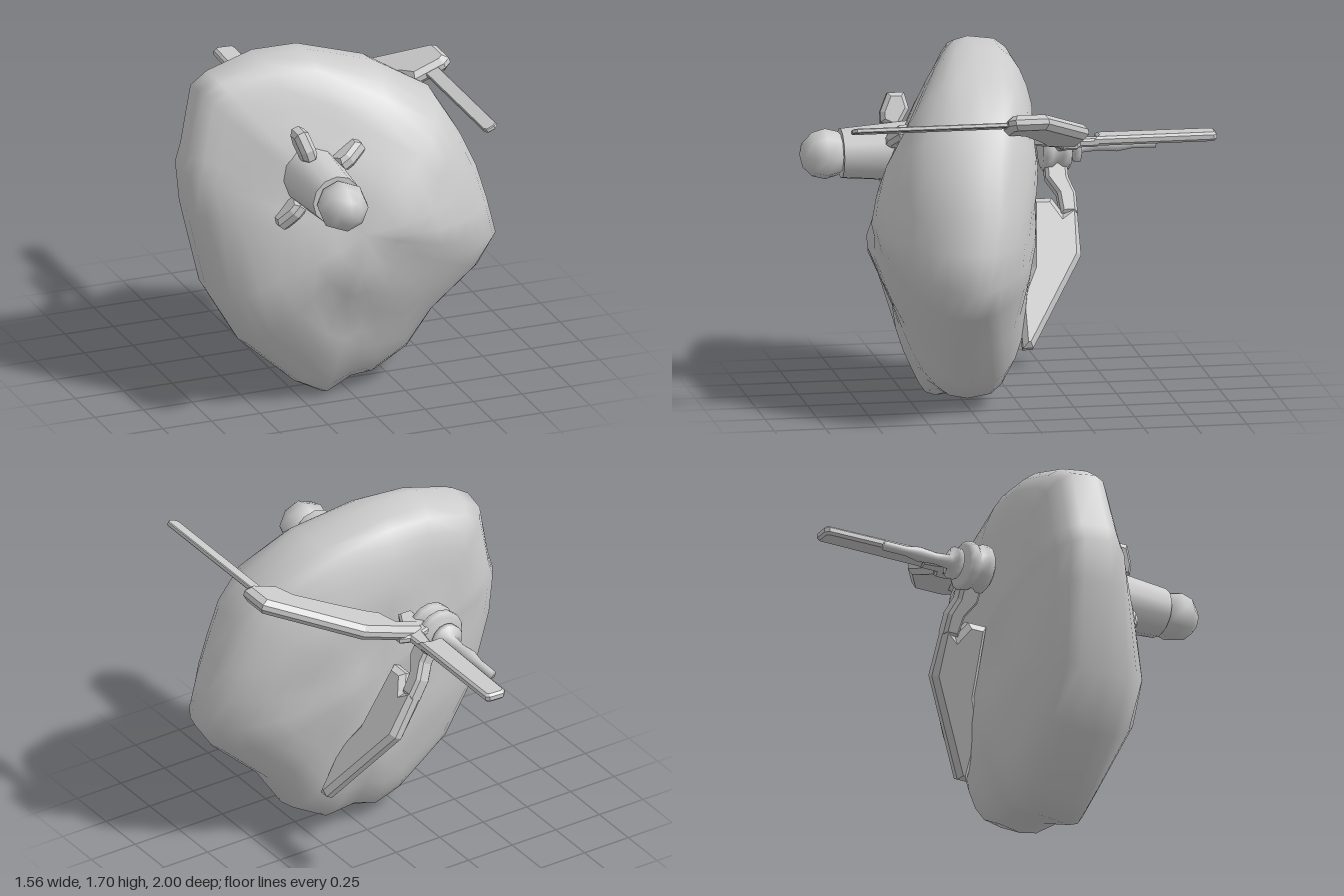
import * as THREE from 'three';

const mat = new THREE.MeshStandardMaterial({ color: 0xcccccc, side: THREE.DoubleSide });
const HUB = { x: -0.23, y: 1.17 };

function add(group, name, geometry, x = 0, y = 0, z = 0) {
  const mesh = new THREE.Mesh(geometry, mat);
  mesh.name = name;
  mesh.position.set(x, y, z);
  group.add(mesh);
  return mesh;
}

// Rim of the rock, counter-clockwise seen from the front: x, y and depth z
const RIM = [
  [-0.12, 0, 0.36], [0.02, 0.05, 0.3], [0.15, 0.04, 0.25], [0.33, 0.14, 0.25],
  [0.45, 0.33, 0.28], [0.68, 0.54, 0.32], [0.78, 0.69, 0.31], [0.74, 0.87, 0.28],
  [0.69, 1.05, 0.25], [0.6, 1.24, 0.24], [0.48, 1.44, 0.22], [0.2, 1.61, 0.2],
  [-0.13, 1.7, 0.16], [-0.36, 1.7, 0.16], [-0.6, 1.63, 0.17], [-0.69, 1.57, 0.17],
  [-0.75, 1.28, 0.2], [-0.78, 1.19, 0.2], [-0.76, 0.98, 0.21], [-0.67, 0.56, 0.24],
  [-0.52, 0.3, 0.27], [-0.25, 0.06, 0.32]
];

// Front and back domes share the rim; each ring is the rim shrunk to the centre
function rockGeometry() {
  const cx = -0.03, cy = 0.92, n = RIM.length;
  const scales = [0.2, 0.36, 0.5, 0.63, 0.75, 0.85, 0.93, 0.98];
  const rings = [...scales.map(s => [s, 1]), [1, 1], ...scales.slice().reverse().map(s => [s, -1])];
  const bump = (x, y) => 0.014 * Math.sin(11 * x + 4 * y) * Math.sin(10 * y - 3 * x);
  const dent = (x, y, px, py, r) => Math.exp(-((x - px) ** 2 + (y - py) ** 2) / (r * r));
  const depth = (x, y, rim, s, side) => {
    const right = Math.max(0, x) / 0.8;
    if (side > 0) {
      // Front: a bulge cut by a slanted face at the top left and another at the bottom
      const top = Math.min(0.725, 0.95 + 0.3 * x - 0.29 * y, 0.5 + 0.25 * y)
        - 0.05 * dent(x, y, -0.18, 0.5, 0.1) - 0.04 * dent(x, y, 0.4, 1.05, 0.12);
      const p = 2.8 - 0.9 * right;
      return rim + (top + bump(x, y) - rim) * Math.pow(1 - Math.pow(s, p), 1 / p);
    }
    const bottom = -0.085 - 0.045 * (y - 0.8) + 0.08 * Math.max(0, x);
    const p = 3.3 - 1.4 * right;
    return rim + (bottom + bump(x, y) - rim) * Math.pow(1 - Math.pow(s, p), 1 / p);
  };
  const pos = [cx, cy, depth(cx, cy, 0.25, 0, 1)], index = [];
  for (const [s, side] of rings) {
    for (const [rx, ry, rz] of RIM) {
      const x = cx + (rx - cx) * s, y = cy + (ry - cy) * s;
      pos.push(x, y, s === 1 ? rz : depth(x, y, rz, s, side));
    }
  }
  pos.push(cx, cy, depth(cx, cy, 0.25, 0, -1));
  const last = 1 + rings.length * n;
  for (let i = 0; i < n; i++) {
    const j = (i + 1) % n;
    index.push(0, 1 + i, 1 + j);
    for (let r = 0; r < rings.length - 1; r++) {
      const a = 1 + r * n + i, b = 1 + r * n + j;
      index.push(a, a + n, b + n, a, b + n, b);
    }
    index.push(last, last - n + j, last - n + i);
  }
  const g = new THREE.BufferGeometry();
  g.setAttribute('position', new THREE.Float32BufferAttribute(pos, 3));
  g.setIndex(index);
  g.computeVertexNormals();
  return g;
}

// Bevelled plate from a list of outline points, centred on its own plane
function plate(outline, thickness, bevel) {
  const shape = new THREE.Shape(outline.map(p => new THREE.Vector2(p[0], p[1])));
  const g = new THREE.ExtrudeGeometry(shape, {
    depth: thickness - 2 * bevel, bevelEnabled: true, bevelSize: bevel,
    bevelThickness: bevel, bevelOffset: -bevel, bevelSegments: 1
  });
  return g.translate(0, 0, bevel - thickness / 2);
}

// Plate whose outline is (distance from an axis, z), turned around that axis
function radialPlate(outline, angle, thickness, bevel = 0.015) {
  const u = new THREE.Vector3(Math.cos(angle), Math.sin(angle), 0);
  const z = new THREE.Vector3(0, 0, 1);
  return plate(outline, thickness, bevel)
    .applyMatrix4(new THREE.Matrix4().makeBasis(u, z, u.clone().cross(z)));
}

export function createModel() {
  const root = new THREE.Group();
  root.name = 'asteroidStation';
  add(root, 'rock', rockGeometry());

  // Front pod: tapered barrel with a ball on its end
  const pod = new THREE.Group();
  pod.name = 'frontPod';
  pod.position.set(-0.225, 1.18, 0);
  root.add(pod);
  const barrel = new THREE.CylinderGeometry(0.122, 0.15, 0.36, 12).rotateX(Math.PI / 2);
  add(pod, 'podBarrel', barrel, 0, 0, 0.62);
  add(pod, 'podBall', new THREE.SphereGeometry(0.124, 8, 6).rotateX(Math.PI / 2), 0, 0, 0.876);

  // Three clamps gripping the rock around the pod
  const clamp = [[0.1, 0.52], [0.14, 0.6], [0.19, 0.6], [0.28, 0.56], [0.28, 0.48], [0.2, 0.46]];
  for (const deg of [33, 108, 228]) {
    add(pod, 'podClamp', radialPlate(clamp, deg * Math.PI / 180, 0.075, 0.02));
  }

  // Rear hub: grooved disc, neck and stepped mast along -z
  const profile = [
    [0, 0.17], [0.1, 0.17], [0.12, 0.185], [0.12, 0.215], [0.1, 0.24],
    [0.12, 0.265], [0.12, 0.295], [0.1, 0.31], [0.05, 0.315], [0.05, 0.325], [0.078, 0.33],
    [0.078, 0.36], [0.035, 0.37], [0.028, 0.45], [0.036, 0.54], [0.024, 0.61], [0.024, 0.73], [0, 0.73]
  ].map(p => new THREE.Vector2(p[0], p[1]));
  const hub = new THREE.LatheGeometry(profile, 14).rotateX(-Math.PI / 2);
  add(root, 'rearHub', hub, HUB.x, HUB.y, 0);

  // Long arm to the upper left, bent forward around the rock
  const upper = [
    [0.08, -0.22], [0.12, -0.31], [0.28, -0.32], [0.49, -0.325], [0.93, -0.06], [0.93, 0.1],
    [0.89, 0.13], [0.73, 0.13], [0.68, 0.04], [0.5, -0.05], [0.36, -0.11], [0.28, -0.13], [0.24, -0.22]
  ];
  add(root, 'upperArm', radialPlate(upper, 0.36, 0.075, 0.025), HUB.x, HUB.y, 0);
  const blade = [[0.79, 0.1], [0.86, 0.1], [0.86, 0.86], [0.84, 0.88], [0.8, 0.88], [0.79, 0.86]];
  add(root, 'upperBlade', radialPlate(blade, 0.36, 0.022, 0.004), HUB.x, HUB.y, 0);

  // Lower arm: narrow link and tapering foot that rests on the rock
  const link = [[0.08, -0.18], [0.08, -0.29], [0.16, -0.29], [0.24, -0.32], [0.34, -0.32], [0.34, -0.24], [0.24, -0.23], [0.16, -0.18]];
  const foot = [[0.26, -0.1], [0.26, -0.2], [0.34, -0.25], [0.3, -0.32], [0.55, -0.32], [1, -0.05], [1, 0], [0.75, 0], [0.6, -0.07]];
  add(root, 'lowerArmLink', radialPlate(link, -1.07, 0.08), HUB.x, HUB.y, 0);
  add(root, 'lowerArmFoot', radialPlate(foot, -1.07, 0.085, 0.025), HUB.x, HUB.y, 0);

  // Rear panel with its bracket, pointing straight back
  const panel = [[-0.15, 0.42], [-0.08, 0.42], [-0.03, 0.4], [-0.03, 0.98], [-0.045, 0.995], [-0.12, 1], [-0.14, 0.98]];
  add(root, 'rearPanel', plate(panel, 0.045, 0.012).rotateX(-Math.PI / 2), 0, 1.232, 0);
  const bracket = [
    [-0.17, 0.12], [-0.1, 0.12], [-0.06, 0.2], [0.02, 0.24], [0.02, 0.31], [-0.03, 0.33],
    [-0.03, 0.42], [-0.09, 0.43], [-0.11, 0.32], [-0.17, 0.3]
  ];
  add(root, 'panelBracket', plate(bracket, 0.04, 0.01).rotateX(-Math.PI / 2), 0, 1.225, 0);

  return root;
}
